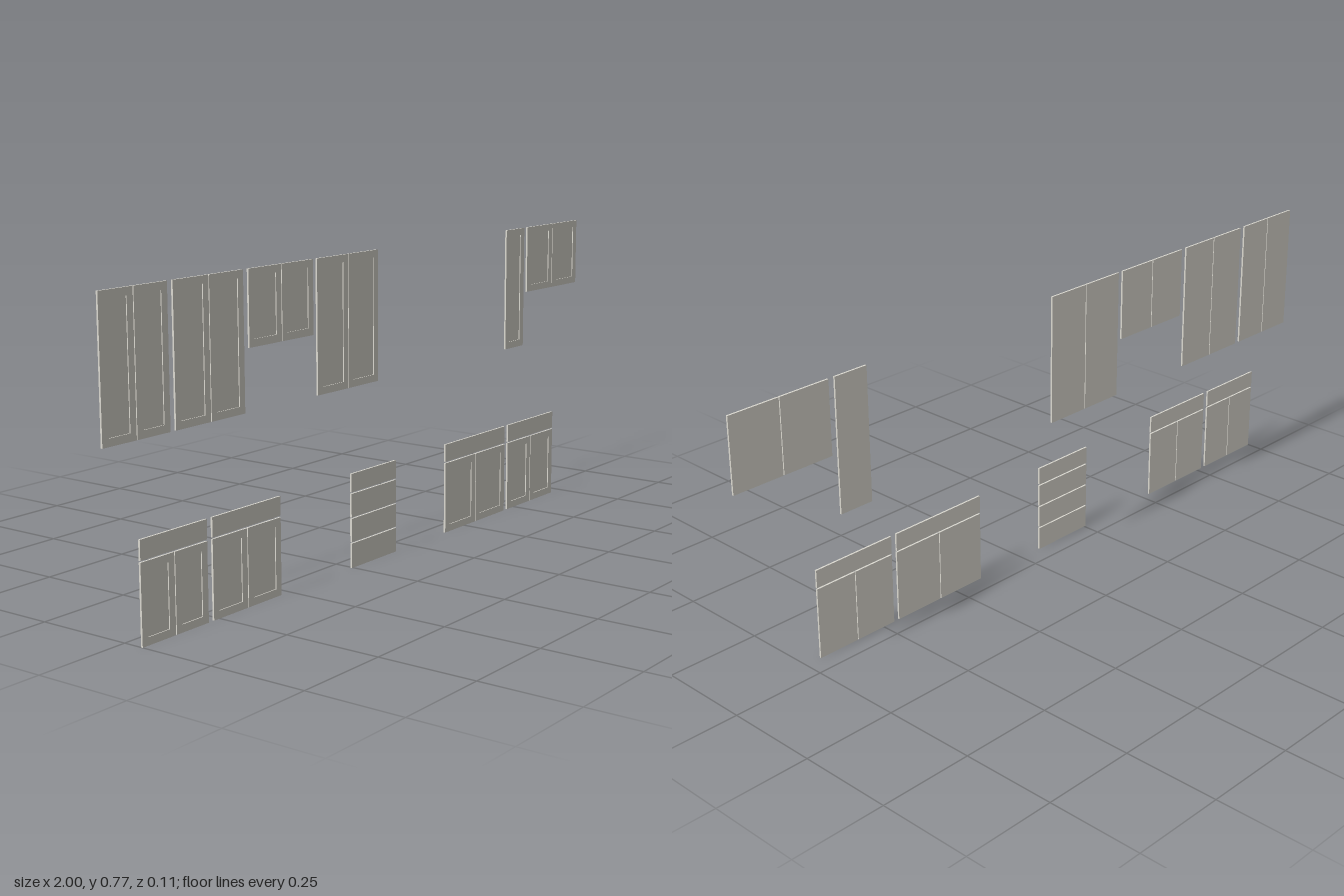
import * as THREE from 'three';

const THICK = 0.005; // thickness of every front
const RECESS = 0.0025; // depth of the sunken door panel
const STILE = 0.019; // width of the door frame
const GAP = 0.0025; // gap between neighbouring doors
const UPPER_Z = -0.054; // back face of wall fronts
const LOWER_Z = 0.049; // back face of base fronts

export function createModel() {
  const paint = new THREE.MeshStandardMaterial({ color: 0xdbd9d0 });
  paint.name = 'warm off-white paint';
  const model = new THREE.Group();
  model.name = 'cabinetFronts';

  // Flat slab between two corners, its back at z
  function slab(name, x0, x1, y0, y1, z, depth) {
    const mesh = new THREE.Mesh(new THREE.BoxGeometry(x1 - x0, y1 - y0, depth), paint);
    mesh.position.set((x0 + x1) / 2, (y0 + y1) / 2, z + depth / 2);
    mesh.name = name;
    return mesh;
  }

  // Framed door with a sunken panel
  function door(x0, x1, y0, y1, z) {
    const group = new THREE.Group();
    group.name = 'door';
    const [a, b, c, d] = [x0 + STILE, x1 - STILE, y0 + STILE, y1 - STILE];
    const outline = new THREE.Shape([
      new THREE.Vector2(x0, y0), new THREE.Vector2(x1, y0),
      new THREE.Vector2(x1, y1), new THREE.Vector2(x0, y1),
    ]);
    outline.holes.push(new THREE.Path([
      new THREE.Vector2(a, c), new THREE.Vector2(a, d),
      new THREE.Vector2(b, d), new THREE.Vector2(b, c),
    ]));
    const frame = new THREE.Mesh(
      new THREE.ExtrudeGeometry(outline, { depth: THICK, bevelEnabled: false }), paint);
    frame.position.z = z;
    frame.name = 'doorFrame';
    group.add(frame, slab('doorPanel', a, b, c, d, z, THICK - RECESS));
    return group;
  }

  // Row of equal doors across one cabinet
  function doors(parent, count, x0, x1, y0, y1, z) {
    const w = (x1 - x0 - GAP * (count - 1)) / count;
    for (let i = 0; i < count; i++) {
      const x = x0 + i * (w + GAP);
      parent.add(door(x, x + w, y0, y1, z));
    }
  }

  function cabinet(name) {
    const group = new THREE.Group();
    group.name = name;
    model.add(group);
    return group;
  }

  // Wall cabinets: left, right, bottom, number of doors
  const wall = [
    [-1, -0.787, 0.426, 2], [-0.769, -0.531, 0.426, 2], [-0.512, -0.271, 0.58, 2],
    [-0.255, -0.004, 0.426, 2], [0.61, 0.704, 0.426, 1], [0.722, 1, 0.58, 2],
  ];
  for (const [x0, x1, y0, n] of wall) {
    doors(cabinet('wallCabinetFront'), n, x0, x1, y0, 0.767, UPPER_Z);
  }

  // Base cabinets: two doors under one wide drawer
  const base = [[-1, -0.787], [-0.769, -0.53], [0.157, 0.448], [0.465, 0.705]];
  for (const [x0, x1] of base) {
    const group = cabinet('baseCabinetFront');
    doors(group, 2, x0, x1, 0, 0.19, LOWER_Z);
    group.add(slab('drawerFront', x0, x1, 0.194, 0.241, LOWER_Z, THICK));
  }

  // Stack of four drawers
  const stack = cabinet('drawerStack');
  for (const [y0, y1] of [[0, 0.063], [0.0665, 0.1265], [0.13, 0.19], [0.194, 0.241]]) {
    stack.add(slab('drawerFront', -0.255, -0.068, y0, y1, LOWER_Z, THICK));
  }
  return model;
}
